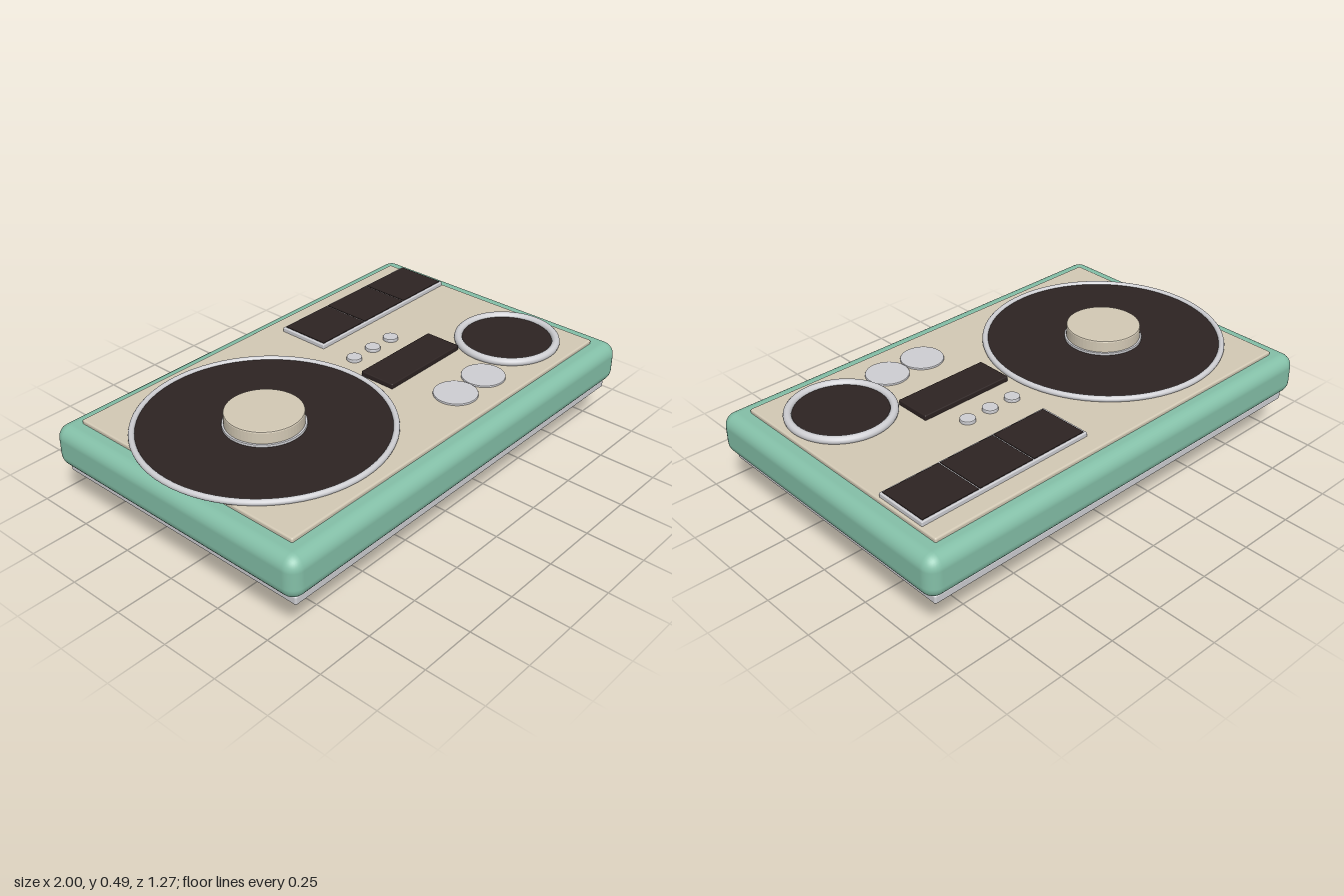
import * as THREE from 'three';
import { RoundedBoxGeometry } from 'three/addons/geometries/RoundedBoxGeometry.js';

const paint = (name, color) => {
  const m = new THREE.MeshStandardMaterial({ color });
  m.name = name;
  return m;
};

export function createModel() {
  const teal = paint('teal', 0x84c0a8);
  const cream = paint('cream', 0xd3c9b5);
  const silver = paint('silver', 0xcfcfd3);
  const dark = paint('dark brown', 0x2d2322);
  const brass = paint('brass', 0xc79b38);
  const root = new THREE.Group();
  root.name = 'turntableConsole';

  const add = (name, geometry, material, x, y, z) => {
    const mesh = new THREE.Mesh(geometry, material);
    mesh.name = name;
    mesh.position.set(x, y, z);
    root.add(mesh);
    return mesh;
  };
  // Rounded slab given by its bottom and top heights
  const slab = (name, mat, x, z, w, d, y0, y1, r) =>
    add(name, new RoundedBoxGeometry(w, y1 - y0, d, 4, r), mat, x, (y0 + y1) / 2, z);
  // Upright disc with a small bevelled edge
  const disc = (name, mat, x, z, r, y0, y1, b = 0.003) => {
    const h = y1 - y0;
    const shape = new THREE.Shape().absarc(0, 0, r - b, 0, Math.PI * 2);
    const g = new THREE.ExtrudeGeometry(shape, {
      depth: h - 2 * b, bevelSize: b, bevelThickness: b, bevelSegments: 2, curveSegments: 32,
    });
    g.translate(0, 0, b).rotateX(-Math.PI / 2);
    return add(name, g, mat, x, y0, z);
  };
  const ring = (name, x, y, z, r, tube) =>
    add(name, new THREE.TorusGeometry(r, tube, 12, 72).rotateX(Math.PI / 2), silver, x, y, z);

  // Case, base plate and control panel
  slab('case', teal, 0, 0, 2, 1.27, 0.222, 0.402, 0.055);
  slab('basePlate', silver, 0, 0, 1.92, 1.21, 0.188, 0.226, 0.008);
  slab('panel', cream, -0.002, -0.004, 1.825, 1.11, 0.392, 0.418, 0.007);

  // Large platter with raised hub
  disc('platter', dark, -0.485, -0.005, 0.495, 0.41, 0.43);
  ring('platterRim', -0.485, 0.427, -0.005, 0.498, 0.0125);
  disc('hubWasher', silver, -0.485, -0.005, 0.163, 0.425, 0.44);
  disc('hub', cream, -0.485, -0.005, 0.155, 0.43, 0.491, 0.006);

  // Small dial
  disc('dial', dark, 0.67, 0.285, 0.203, 0.41, 0.43);
  ring('dialRim', 0.67, 0.429, 0.285, 0.205, 0.017);

  // Three-part display in a silver frame
  slab('displayFrame', silver, 0.5, -0.36, 0.8, 0.235, 0.41, 0.436, 0.004);
  for (let i = 0; i < 3; i++) {
    add('displayTile', new THREE.BoxGeometry(0.256, 0.006, 0.217), dark, 0.239 + i * 0.262, 0.436, -0.36);
  }

  // Dark slot, small buttons and flat knobs
  slab('slot', dark, 0.256, 0.1, 0.43, 0.162, 0.41, 0.439, 0.005);
  for (const x of [0.122, 0.238, 0.353]) disc('button', silver, x, -0.09, 0.032, 0.41, 0.432, 0.004);
  for (const x of [0.18, 0.362]) disc('flatKnob', silver, x, 0.39, 0.09, 0.41, 0.426);

  // Underside disc and brass bowl
  disc('undersideDisc', dark, 0, 0, 0.47, 0.186, 0.196, 0.001);
  add('bowl', new THREE.SphereGeometry(0.095, 32, 12, 0, Math.PI * 2, Math.PI / 2, Math.PI / 2), brass, 0, 0.198, 0);

  // Side studs on the bowl
  const stud = (mat, x, z) =>
    add('sideStud', new THREE.CylinderGeometry(0.025, 0.025, 0.025, 24).rotateZ(Math.PI / 2), mat, x, 0.189, z);
  stud(silver, 0.092, 0);
  stud(brass, -0.095, -0.03);

  // Collar, stem and ball tip
  disc('collar', silver, 0, 0, 0.064, 0.1, 0.111, 0.004);
  add('stem', new THREE.CylinderGeometry(0.009, 0.009, 0.09, 16), cream, 0, 0.063, 0.024);
  add('ballTip', new THREE.SphereGeometry(0.017, 20, 14), cream, 0, 0.017, 0.024);
  return root;
}
